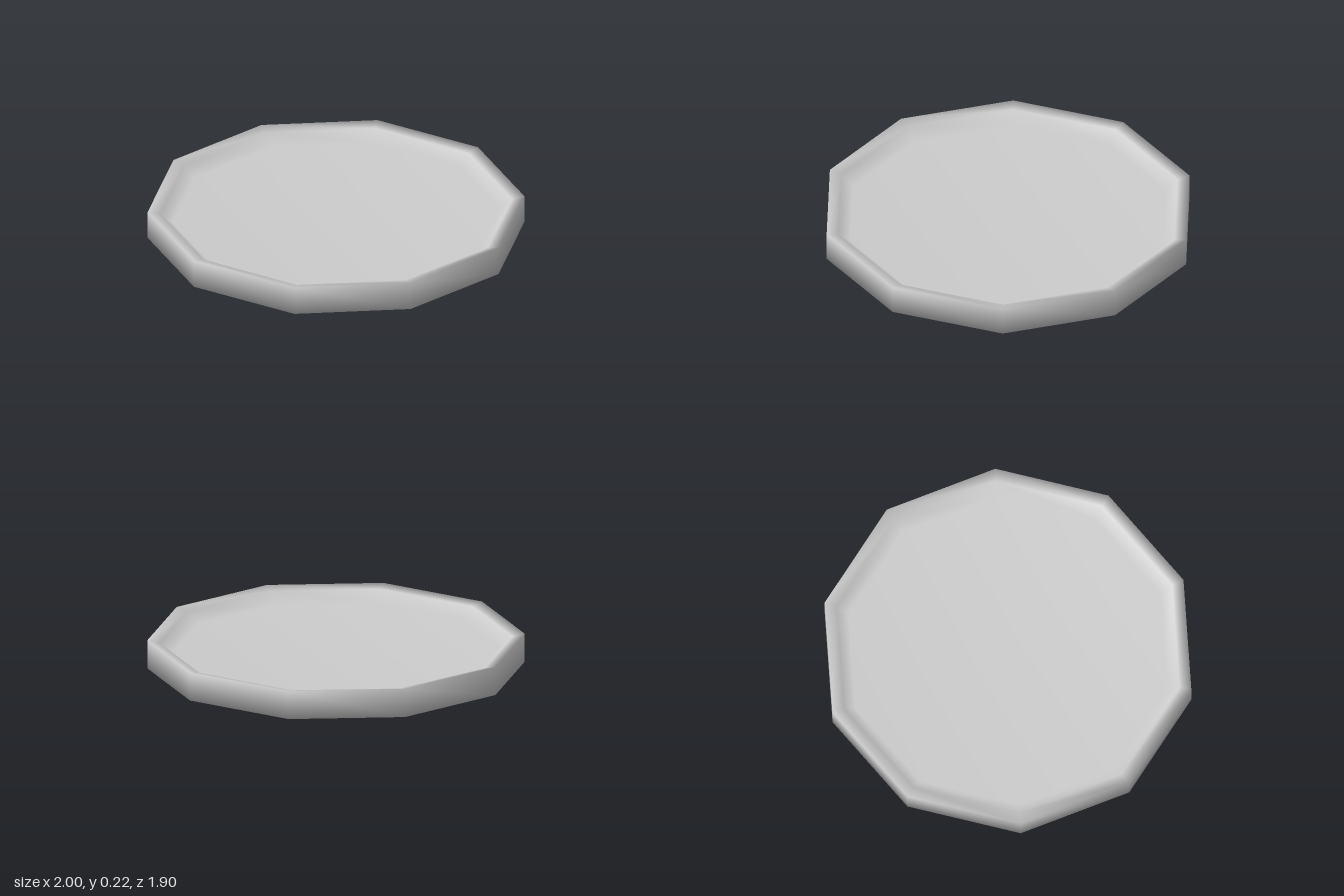
import * as THREE from 'three';

const SIDES = 10;

// Smooth ten-sided turned body, with corners on the x axis
function turned(name, profile) {
  const points = profile.map(([r, y]) => new THREE.Vector2(r, y));
  const geometry = new THREE.LatheGeometry(points, SIDES, Math.PI / 2);
  const mesh = new THREE.Mesh(geometry, new THREE.MeshStandardMaterial({ color: 0xcccccc }));
  mesh.name = name;
  return mesh;
}

export function createModel() {
  const group = new THREE.Group();
  group.name = 'plate';

  // Dish: flat underside, upright wall, rim sloping slightly inward and sunken floor
  group.add(turned('dish', [
    [0.6, 0.07], [1, 0.07], [1, 0.225], [0.935, 0.21],
    [0.87, 0.153], [0, 0.153],
  ]));

  // Foot: low ring with a hollow underneath
  group.add(turned('foot', [
    [0, 0.035], [0.56, 0.035], [0.605, 0], [0.665, 0], [0.665, 0.07],
  ]));

  return group;
}
